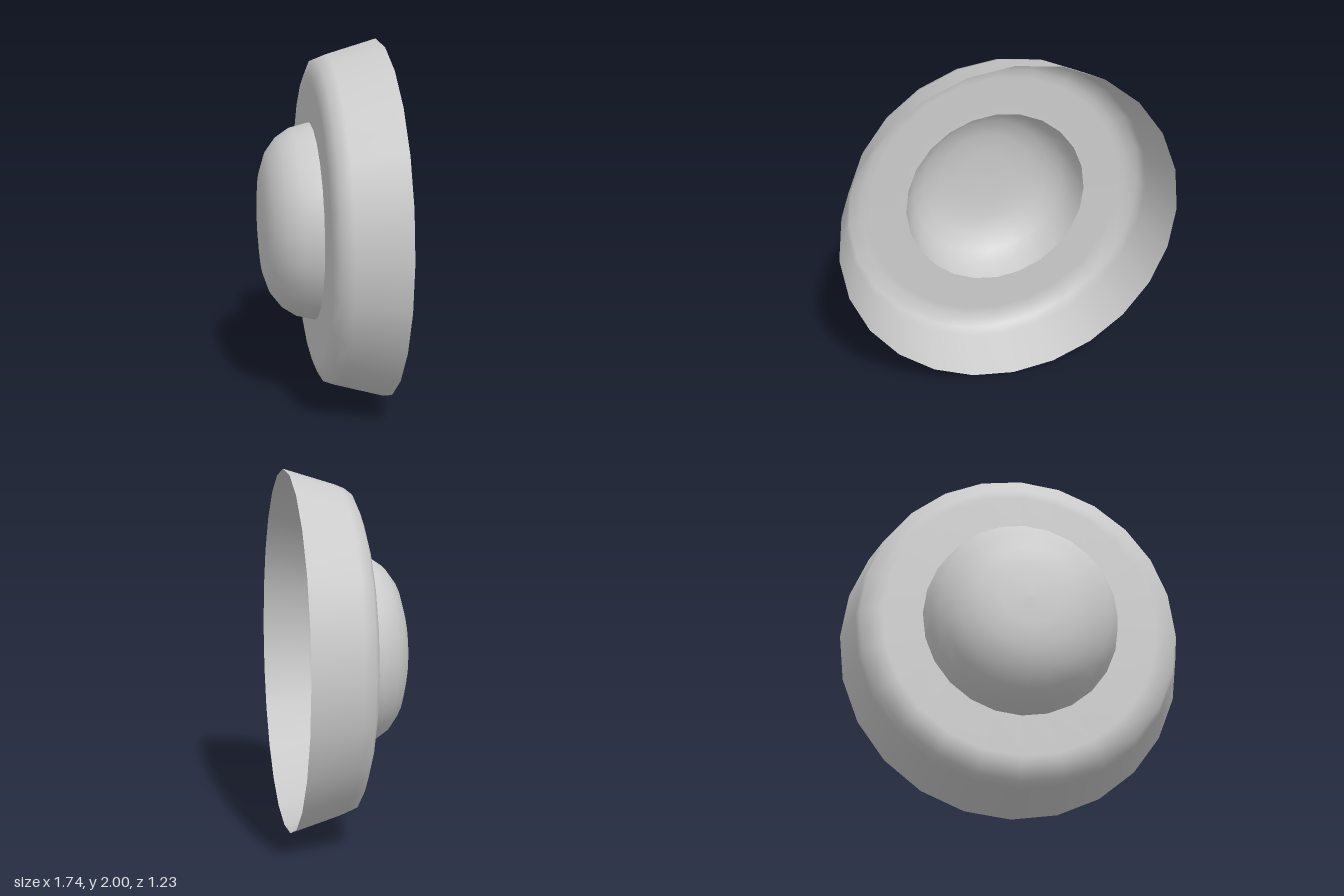
import * as THREE from 'three';

const SIDES = 24;

// Thin turned surface from [radius, height] pairs, smooth along its profile
function turned(name, profile, material) {
  const points = profile.map(([r, h]) => new THREE.Vector2(r, h));
  const mesh = new THREE.Mesh(new THREE.LatheGeometry(points, SIDES), material);
  mesh.name = name;
  return mesh;
}

export function createModel() {
  const material = new THREE.MeshStandardMaterial({ color: 0xcccccc, side: THREE.DoubleSide });
  const model = new THREE.Group();
  model.name = 'domedCover';

  // Both parts are turned about y, then tipped so that the dome faces forward
  const shell = new THREE.Group();
  shell.name = 'shell';
  shell.rotation.x = Math.PI / 2;
  shell.scale.x = 0.9645; // slightly narrower than tall

  // Flared rim wall, rounded shoulder and flat ring face
  shell.add(turned('rim', [
    [1, 0], [0.918, 0.277], [0.895, 0.336], [0.82, 0.365], [0.77, 0.366], [0.55, 0.366],
  ], material));

  // Hollow dome rising from the ring, with a sharp edge at its base
  shell.add(turned('dome', [
    [0.55, 0.366], [0.524, 0.468], [0.472, 0.546], [0.394, 0.605],
    [0.288, 0.64], [0.16, 0.652], [0, 0.655],
  ], material));

  // Turn the whole shell towards its right
  const turn = new THREE.Group();
  turn.name = 'turnedShell';
  turn.rotation.y = THREE.MathUtils.degToRad(-31);
  turn.position.set(0.045, 1, -0.12);
  turn.add(shell);
  model.add(turn);
  return model;
}
